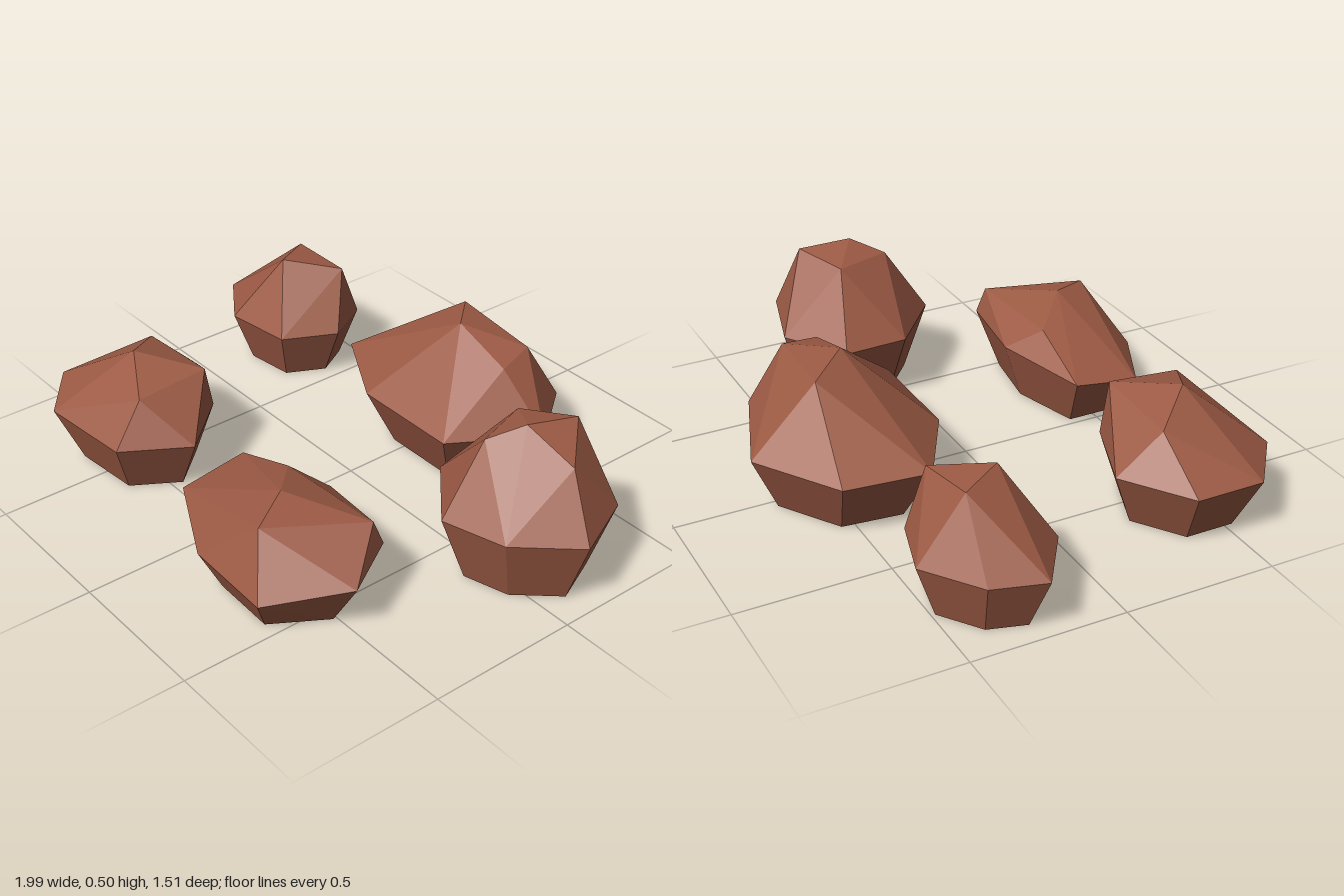
import * as THREE from 'three';
import { ConvexGeometry } from 'three/addons/geometries/ConvexGeometry.js';

const FOOT = 0.71; // the ground outline is this much narrower than the waist

// A faceted boulder: the waist outline (x, z) narrows to a flat foot below
// and closes over a few crown corners (x, y, z) above. Lean tips the waist along z.
function makeRock(name, material, { outline, waist, lean = 0, crown }) {
  const ring = outline.map(([x, z]) => new THREE.Vector3(x, waist, z));
  const centre = new THREE.Box3().setFromPoints(ring).getCenter(new THREE.Vector3());
  const foot = ring.map((p) => p.clone().lerp(centre, 1 - FOOT).setY(0));
  ring.forEach((p) => { p.y += lean * (p.z - centre.z); });
  const top = crown.map((p) => new THREE.Vector3(...p));
  const rock = new THREE.Mesh(new ConvexGeometry([...foot, ...ring, ...top]), material);
  rock.name = name;
  return rock;
}

export function createModel() {
  const group = new THREE.Group();
  group.name = 'rockCluster';
  const stone = new THREE.MeshStandardMaterial({ color: 0x9c5a44 });
  stone.name = 'reddish brown stone';

  // Small rock, back left
  group.add(makeRock('backLeftRock', stone, {
    outline: [[-1, -0.25], [-0.95, -0.42], [-0.77, -0.55], [-0.57, -0.49], [-0.48, -0.33], [-0.57, -0.15], [-0.81, -0.12]],
    waist: 0.18,
    crown: [[-0.78, 0.39, -0.4], [-0.7, 0.405, -0.26], [-0.57, 0.37, -0.42]],
  }));

  // Broadest rock, back middle
  group.add(makeRock('backMiddleRock', stone, {
    outline: [[-0.37, -0.3], [-0.34, -0.58], [-0.06, -0.76], [0.3, -0.63], [0.46, -0.42], [0.29, -0.14], [-0.09, -0.14]],
    waist: 0.2,
    crown: [[-0.06, 0.42, -0.54], [0.07, 0.445, -0.4], [0.26, 0.4, -0.52], [0.29, 0.38, -0.39]],
  }));

  // Tallest rock, right
  group.add(makeRock('rightRock', stone, {
    outline: [[0.4, -0.24], [0.61, -0.38], [0.89, -0.3], [0.99, -0.08], [0.83, 0.1], [0.62, 0.16], [0.41, -0.02]],
    waist: 0.23,
    crown: [[0.7, 0.505, -0.09], [0.74, 0.485, -0.26], [0.57, 0.46, -0.18], [0.63, 0.46, 0.01], [0.86, 0.42, -0.13]],
  }));

  // Rounded rock, front left
  group.add(makeRock('frontLeftRock', stone, {
    outline: [[-0.85, 0.33], [-0.63, 0.18], [-0.37, 0.28], [-0.2, 0.47], [-0.33, 0.68], [-0.66, 0.71], [-0.85, 0.56]],
    waist: 0.19,
    crown: [[-0.53, 0.39, 0.47], [-0.35, 0.35, 0.32], [-0.35, 0.33, 0.57], [-0.66, 0.33, 0.32]],
  }));

  // Low wedge, front right
  group.add(makeRock('frontRightRock', stone, {
    outline: [[-0.08, 0.37], [0.25, 0.28], [0.56, 0.33], [0.66, 0.51], [0.51, 0.75], [0.2, 0.74], [-0.08, 0.6]],
    waist: 0.17,
    lean: -0.14,
    crown: [[0.32, 0.335, 0.52], [0.4, 0.31, 0.66], [0.17, 0.28, 0.38], [0.55, 0.28, 0.36]],
  }));

  return group;
}
